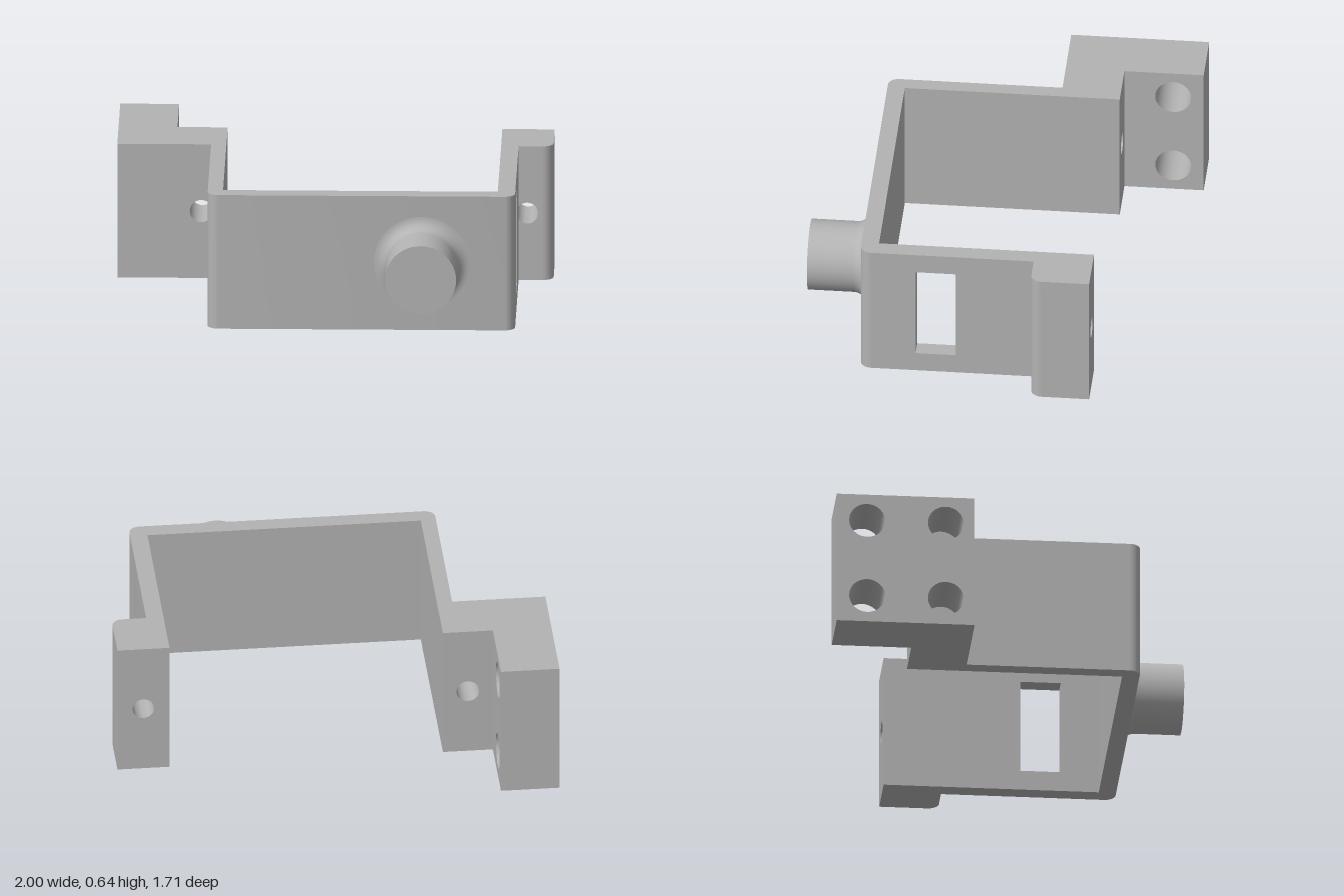
import * as THREE from 'three';
import { toCreasedNormals } from 'three/addons/utils/BufferGeometryUtils.js';

const H = 0.64;          // height of the bracket
const R = 0.05;          // rounding of the vertical edges
const MID = H / 2;

// Closed rectangle with optional holes
function rect(x0, y0, x1, y1, holes = []) {
  const s = new THREE.Shape();
  s.moveTo(x0, y0).lineTo(x1, y0).lineTo(x1, y1).lineTo(x0, y1).closePath();
  s.holes.push(...holes);
  return s;
}

function roundHole(x, y, r) {
  return new THREE.Path().absarc(x, y, r, 0, Math.PI * 2, true);
}

function extrude(shape, depth) {
  const g = new THREE.ExtrudeGeometry(shape, { depth, bevelEnabled: false, curveSegments: 16 });
  return toCreasedNormals(g, 0.5);
}

// Extrusions along each axis; for X and Y the shape holds -z as a coordinate
const alongX = (shape, x0, x1) => extrude(shape, x1 - x0).rotateY(Math.PI / 2).translate(x0, 0, 0);
const alongY = (shape) => extrude(shape, H).rotateX(-Math.PI / 2);
const alongZ = (shape, z0, z1) => extrude(shape, z1 - z0).translate(0, 0, z0);

export function createModel() {
  const group = new THREE.Group();
  const grey = new THREE.MeshStandardMaterial({ color: 0xb3b3b3 });
  grey.name = 'grey';
  const add = (name, geometry) => {
    const mesh = new THREE.Mesh(geometry, grey);
    mesh.name = name;
    group.add(mesh);
    return mesh;
  };

  // Front plate with rounded corners, continuing into one side wall
  const plan = new THREE.Shape();
  plan.moveTo(-0.57, 0.22);
  plan.lineTo(-0.57, -0.58 + R);
  plan.absarc(-0.57 + R, -0.58 + R, R, Math.PI, Math.PI * 1.5, false);
  plan.lineTo(0.84 - R, -0.58);
  plan.absarc(0.84 - R, -0.58 + R, R, -Math.PI / 2, 0, false);
  plan.lineTo(0.84, -0.5);
  plan.lineTo(-0.5, -0.5);
  plan.lineTo(-0.5, 0.22);
  plan.closePath();
  add('frontPlateAndRightWall', alongY(plan));

  // Opposite side wall with its slot
  const slot = new THREE.Path();
  slot.moveTo(-0.325, 0.095).lineTo(-0.325, 0.545).lineTo(-0.14, 0.545).lineTo(-0.14, 0.095).closePath();
  add('slottedWall', alongX(rect(-0.5, 0, 0.22, H, [slot]), 0.76, 0.84));

  // Large mounting block with four bolt holes
  const bolts = [];
  for (const u of [0.715, 0.353]) for (const y of [0.13, 0.51]) bolts.push(roundHole(u, y, 0.083));
  add('mountingBlock', alongX(rect(0.22, 0, 0.855, H, bolts), -1, -0.73));

  // Step joining the mounting block to the wall, with a screw hole
  add('mountingStep', alongZ(rect(-0.73, 0, -0.5, H, [roundHole(-0.615, MID, 0.053)]), -0.49, -0.22));

  // Small flange with a screw hole and one rounded outer edge
  add('flange', alongZ(rect(0.76, 0, 1 - R, H, [roundHole(0.88, MID, 0.05)]), -0.49, -0.22));
  const edge = new THREE.Shape();
  edge.moveTo(1 - R, 0.22);
  edge.absarc(1 - R, 0.22 + R, R, -Math.PI / 2, 0, false);
  edge.lineTo(1, 0.49);
  edge.lineTo(1 - R, 0.49);
  edge.closePath();
  add('flangeRoundedEdge', alongY(edge));

  // Round boss with a filleted base
  const r = 0.163, f = 0.058, profile = [];
  for (let i = 0; i <= 8; i++) {
    const a = (i / 8) * Math.PI / 2;
    profile.push(new THREE.Vector2(r + f - f * Math.sin(a), f - f * Math.cos(a)));
  }
  profile.push(new THREE.Vector2(r, 0.1), new THREE.Vector2(r, 0.27));
  add('boss', new THREE.LatheGeometry(profile, 48).rotateX(Math.PI / 2)).position.set(0.413, MID, 0.58);
  add('bossFace', new THREE.CircleGeometry(r, 48)).position.set(0.413, MID, 0.85);

  return group;
}
